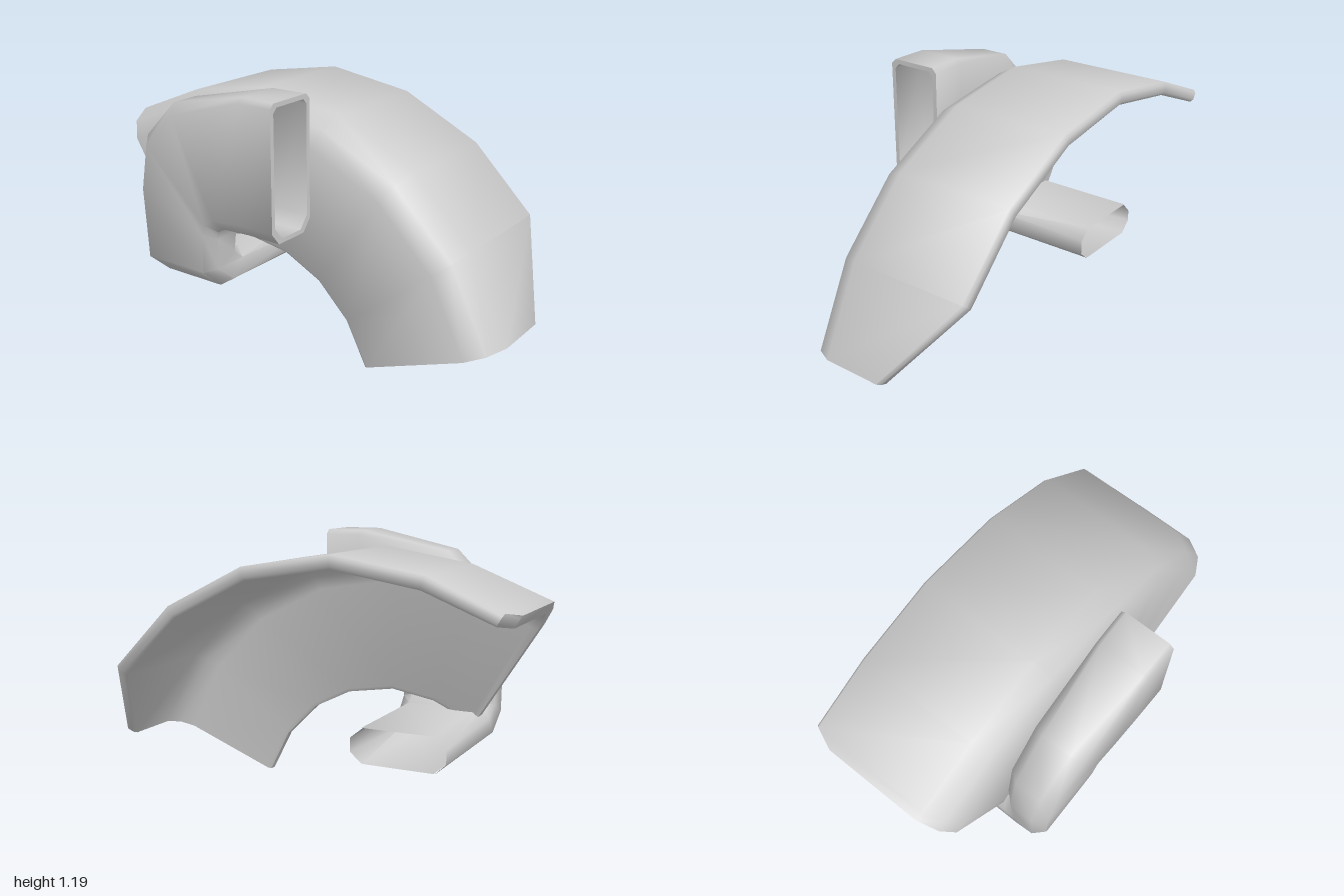
import * as THREE from 'three';
import { toCreasedNormals } from 'three/addons/utils/BufferGeometryUtils.js';

const mix = THREE.MathUtils.lerp;

// Skin a list of equal-length closed rings; the cap pairs point k with its mirror in the ring.
function loft(rings, caps) {
  const n = rings[0].length, index = [];
  const quad = (a, b, c, d) => index.push(a, b, c, a, c, d);
  for (let r = 0; r < rings.length - 1; r++) {
    for (let k = 0; k < n; k++) {
      const a = r * n + k, b = r * n + (k + 1) % n;
      quad(a, b, b + n, a + n);
    }
  }
  if (caps) {
    const e = (rings.length - 1) * n;
    for (let k = 0; k < n / 2 - 1; k++) {
      quad(k, n - 1 - k, n - 2 - k, k + 1);
      quad(e + k, e + k + 1, e + n - 2 - k, e + n - 1 - k);
    }
  }
  // Turn the faces outward if the enclosed volume comes out negative
  const pts = rings.flat();
  let volume = 0;
  for (let i = 0; i < index.length; i += 3) {
    const [a, b, c] = [pts[index[i]], pts[index[i + 1]], pts[index[i + 2]]];
    volume += a.dot(b.clone().cross(c));
  }
  if (volume < 0) index.reverse();
  const geo = new THREE.BufferGeometry().setFromPoints(pts);
  geo.setIndex(index);
  return toCreasedNormals(geo, 0.95);
}

// Fender stations: outer z, y; inner z, y; reach of the top sheet in x
const FENDER = [
  [1.0, 0.23, 0.4, 0.005, 0.2],
  [0.815, 0.6, 0.3, 0.2, 0.485],
  [0.53, 0.885, 0.15, 0.35, 0.485],
  [0.16, 1.07, -0.03, 0.44, 0.485],
  [-0.25, 1.135, -0.25, 0.475, 0.485],
  [-0.65, 1.07, -0.45, 0.44, 0.485],
  [-0.96, 0.946, -0.62, 0.362, 0.485],
  [-1.0, 0.93, -0.64, 0.35, 0.39],
];

function fenderRing([oz, oy, iz, iy, reach]) {
  const outer = new THREE.Vector2(oz, oy), inner = new THREE.Vector2(iz, iy);
  const dir = outer.clone().sub(inner).normalize();
  const len = outer.distanceTo(inner);
  // x and depth below the outer surface
  const profile = [
    [-0.205, len], [-0.215, len - 0.015], [-0.215, 0.135], [-0.17, 0.05], [-0.08, 0],
    [reach - 0.012, 0], [reach, 0.014],
    [reach, 0.046], [reach - 0.012, 0.06], [-0.07, 0.06], [-0.13, 0.1], [-0.16, 0.16],
    [-0.16, len - 0.015], [-0.17, len],
  ];
  return profile.map(([x, d]) => new THREE.Vector3(x, outer.y - dir.y * d, outer.x - dir.x * d));
}

// Duct stations: outer z, y; inner z, y; two side x values; y offset at each side; wall inset
const DUCT = [
  [0.12, 1.19, 0.12, 0.59, -0.487, -0.23, 0, 0, 0.02],
  [-0.05, 1.19, -0.05, 0.59, -0.483, -0.232, 0, 0, 0.018],
  [-0.46, 1.105, -0.19, 0.58, -0.475, -0.238, 0, 0, 0.014],
  [-0.64, 0.93, -0.235, 0.555, -0.467, -0.243, 0, 0, 0.01],
  [-0.695, 0.7, -0.245, 0.52, -0.46, -0.248, 0, 0, 0.008],
  [-0.695, 0, -0.255, 0, -0.445, -0.255, 0.35, 0.44, 0.006],
  [-0.69, 0, -0.26, 0, -0.33, -0.21, 0.25, 0.408, 0.005],
  [-0.69, 0, -0.26, 0, 0.31, 0.31, 0.25, 0.408, 0.003],
];

function ductRing([oz, oy, iz, iy, x0, x1, y0, y1, wall], i, inside) {
  const long = Math.hypot(oz - iz, oy - iy), short = Math.hypot(x1 - x0, y1 - y0);
  const w = inside ? wall : 0;
  const u0 = w / long, v0 = w / short;
  const top = i < 2 ? 0.022 : 0.05;
  const bu = 0.055 / long, tu = top / long, bv = 0.045 / short, tv = top / short;
  // Octagon: u runs inner to outer bend, v runs between the sides
  const octagon = [
    [u0, v0 + bv], [u0, 1 - v0 - bv], [u0 + bu, 1 - v0], [1 - u0 - tu, 1 - v0],
    [1 - u0, 1 - v0 - tv], [1 - u0, v0 + tv], [1 - u0 - tu, v0], [u0 + bu, v0],
  ];
  return octagon.map(([u, v]) => new THREE.Vector3(
    mix(x0, x1, v), mix(iy, oy, u) + mix(y0, y1, v), mix(iz, oz, u)));
}

export function createModel() {
  const group = new THREE.Group();
  const material = new THREE.MeshStandardMaterial({ color: 0xcccccc });
  const add = (name, geometry) => {
    const mesh = new THREE.Mesh(geometry, material);
    mesh.name = name;
    group.add(mesh);
  };

  // Curved wheel cover with one side wall
  add('fender', loft(FENDER.map(fenderRing), true));

  // Air duct: lining out to the mouth, round the rim and back along the skin to the open outlet
  const lining = DUCT.map((s, i) => ductRing(s, i, true)).reverse();
  const skin = DUCT.map((s, i) => ductRing(s, i, false));
  add('airDuct', loft([...lining, ...skin], false));

  return group;
}
